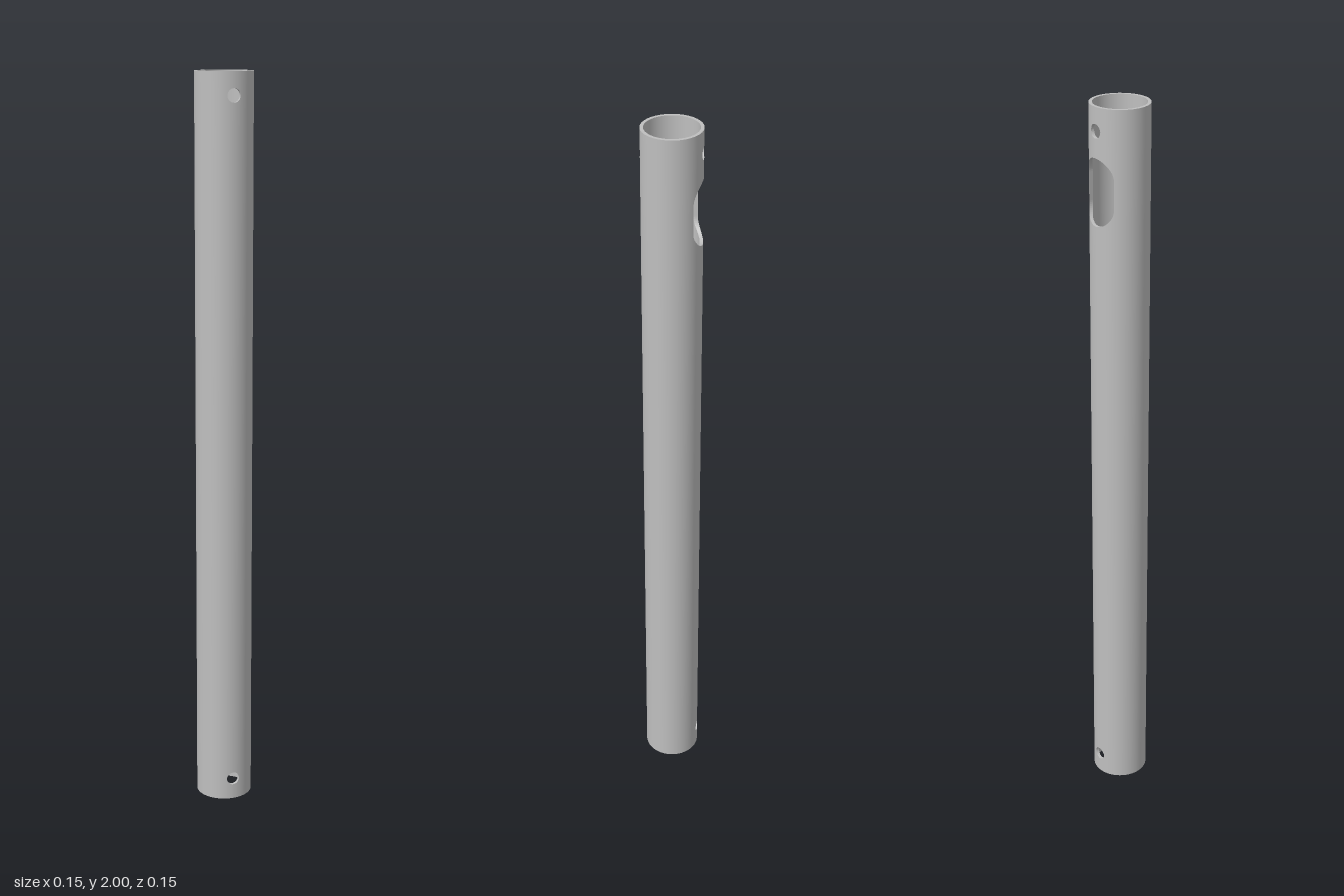
import * as THREE from 'three';

const HEIGHT = 2, OUTER = 0.0765, INNER = 0.068;
const PIN = 0.018, SLOT = 0.05;

// Openings per side: centre height, radius, half length of the straight part
const pins = [{ y: 0.06, r: PIN, half: 0 }, { y: HEIGHT - 0.06, r: PIN, half: 0 }];
const slot = { y: 1.786, r: SLOT, half: 0.037 };
const frontHoles = [pins[0], pins[1]];
const backHoles = [pins[0], slot, pins[1]];

// Columns across one half of the tube, dense where the openings curve
function makeColumns() {
  const xs = [];
  for (let k = 0; k <= 8; k++) xs.push(PIN * Math.sin(k * Math.PI / 16));
  for (let k = 1; k <= 16; k++) {
    const x = SLOT * Math.sin(k * Math.PI / 32);
    if (x > PIN + 0.001) xs.push(x);
  }
  const half = xs.map(x => ({ x, out: Math.asin(x / OUTER), inn: Math.asin(x / INNER) }));
  const last = half[half.length - 1];
  for (let k = 1; k <= 10; k++) {
    const out = THREE.MathUtils.lerp(last.out, Math.PI / 2, k / 10);
    const inn = THREE.MathUtils.lerp(last.inn, Math.PI / 2, k / 10);
    half.push({ x: OUTER * Math.sin(out), out, inn });
  }
  const mirrored = half.slice(1).reverse().map(c => ({ x: -c.x, out: -c.out, inn: -c.inn }));
  return [...mirrored, ...half];
}

function tubeGeometry() {
  const position = [], normal = [];
  const columns = makeColumns();

  // Radial walls get smooth normals (sign 1 outside, -1 inside), others flat ones
  function quad(points, sign = 0) {
    const [a, b, c, d] = points;
    const flat = new THREE.Vector3().subVectors(c, a).cross(new THREE.Vector3().subVectors(d, b)).normalize();
    for (const p of [a, b, c, a, c, d]) {
      position.push(p.x, p.y, p.z);
      const n = sign ? new THREE.Vector3(p.x, 0, p.z).normalize().multiplyScalar(sign) : flat;
      normal.push(n.x, n.y, n.z);
    }
  }

  for (const [side, holes] of [[1, frontHoles], [-1, backHoles]]) {
    const at = (radius, angle, y) =>
      new THREE.Vector3(side * radius * Math.sin(angle), y, side * radius * Math.cos(angle));
    const o = (c, y) => at(OUTER, c.out, y);
    const i = (c, y) => at(INNER, c.inn, y);
    const reach = (h, c) => h.half + Math.sqrt(Math.max(0, h.r * h.r - c.x * c.x));

    for (let k = 0; k < columns.length - 1; k++) {
      const a = columns[k], b = columns[k + 1];
      // Heights where the wall starts and stops between these two columns
      const levels = [[0, 0]];
      for (const h of holes) {
        if (Math.max(Math.abs(a.x), Math.abs(b.x)) > h.r + 1e-6) continue;
        const ra = reach(h, a), rb = reach(h, b);
        levels.push([h.y - ra, h.y - rb], [h.y + ra, h.y + rb]);
      }
      levels.push([HEIGHT, HEIGHT]);

      for (let s = 0; s < levels.length; s += 2) {
        const [a0, b0] = levels[s], [a1, b1] = levels[s + 1];
        quad([o(a, a0), o(b, b0), o(b, b1), o(a, a1)], 1);
        quad([i(b, b0), i(a, a0), i(a, a1), i(b, b1)], -1);
        quad([o(a, a0), i(a, a0), i(b, b0), o(b, b0)]);
        quad([o(a, a1), o(b, b1), i(b, b1), i(a, a1)]);
      }
    }

    // Straight flanks of the long slot
    for (const h of holes.filter(hole => hole.half > 0)) {
      for (const c of columns.filter(col => Math.abs(Math.abs(col.x) - h.r) < 1e-6)) {
        const y0 = h.y - h.half, y1 = h.y + h.half;
        const wall = [o(c, y0), i(c, y0), i(c, y1), o(c, y1)];
        quad(c.x > 0 ? wall.reverse() : wall);
      }
    }
  }

  const geometry = new THREE.BufferGeometry();
  geometry.setAttribute('position', new THREE.Float32BufferAttribute(position, 3));
  geometry.setAttribute('normal', new THREE.Float32BufferAttribute(normal, 3));
  return geometry;
}

export function createModel() {
  const group = new THREE.Group();
  group.name = 'drilledTube';
  const steel = new THREE.MeshStandardMaterial({ color: 0xbfbfbf });
  steel.name = 'grey steel';
  const tube = new THREE.Mesh(tubeGeometry(), steel);
  tube.name = 'tubeWall';
  group.add(tube);
  return group;
}
